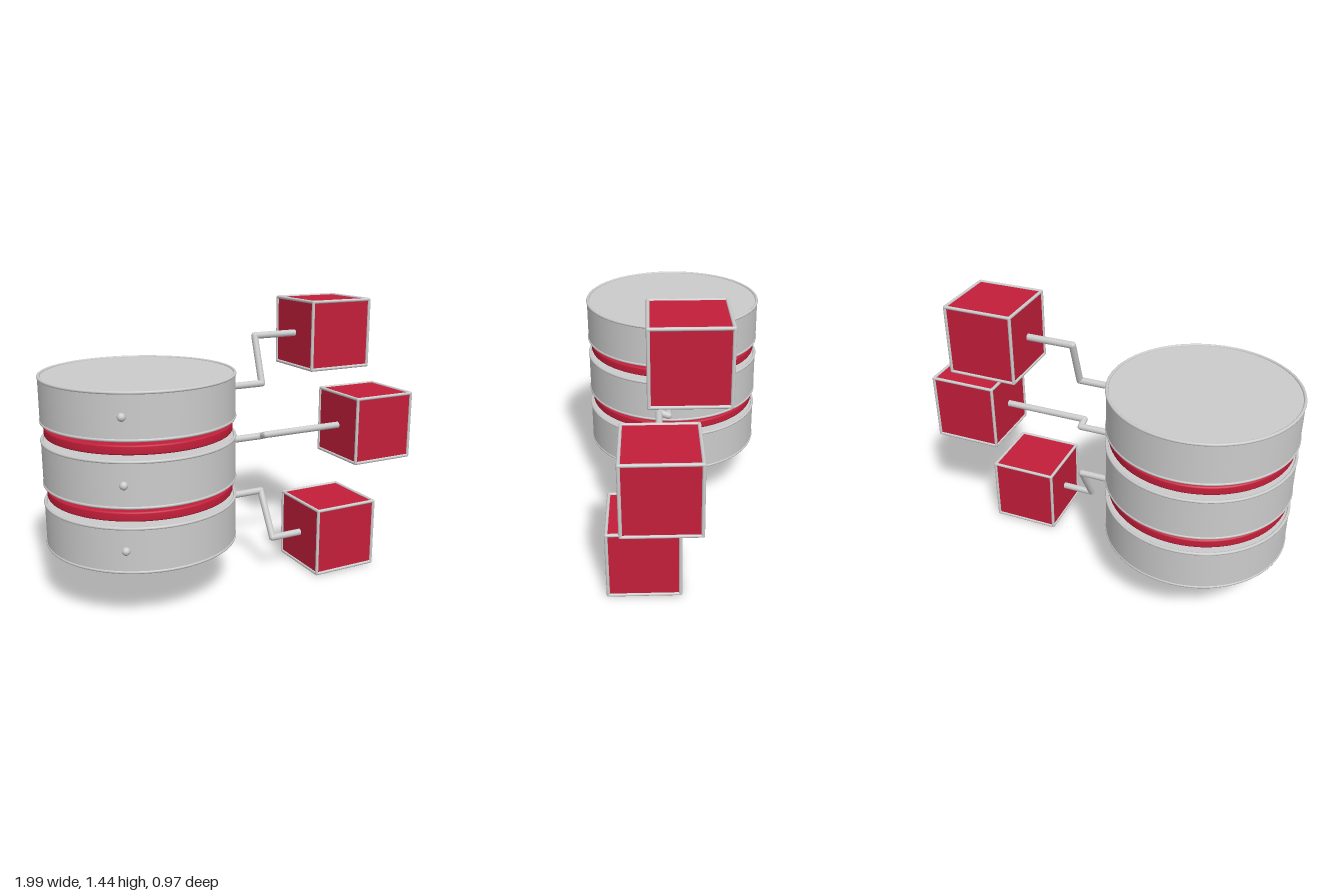
import * as THREE from 'three';

const grey = new THREE.MeshStandardMaterial({ color: 0xcccccc });
const red = new THREE.MeshStandardMaterial({ color: 0xc41e3a });

function addMesh(parent, name, geometry, material, x = 0, y = 0, z = 0) {
  const mesh = new THREE.Mesh(geometry, material);
  mesh.name = name;
  mesh.position.set(x, y, z);
  parent.add(mesh);
  return mesh;
}

// Round bar between two points
function addBar(parent, name, a, b, radius) {
  const dir = b.clone().sub(a);
  const mesh = addMesh(parent, name, new THREE.CylinderGeometry(radius, radius, dir.length(), 16), grey);
  mesh.position.copy(a).add(b).multiplyScalar(0.5);
  mesh.quaternion.setFromUnitVectors(new THREE.Vector3(0, 1, 0), dir.normalize());
}

// Drum with a rounded rim at each end and a small stud on its side
function makeDrum(y) {
  const drum = new THREE.Group();
  drum.name = 'drum';
  drum.position.set(-0.513, y, 0);
  addMesh(drum, 'drumBody', new THREE.CylinderGeometry(0.482, 0.482, 0.214, 96), grey);
  for (const side of [-1, 1]) {
    const rim = addMesh(drum, 'drumRim', new THREE.TorusGeometry(0.478, 0.008, 10, 96), grey, 0, side * 0.107, 0);
    rim.rotation.x = Math.PI / 2;
  }
  addMesh(drum, 'stud', new THREE.SphereGeometry(0.02, 20, 14), grey, -0.242, 0, 0.42);
  return drum;
}

// Red disc with softened edges, between two drums
function makeDisc(y) {
  const r = 0.467, h = 0.023, b = 0.008;
  const profile = [[0, -h], [r - b, -h], [r - b, -h], [r - 0.002, -h + 0.003], [r, -h + b],
    [r, h - b], [r - 0.002, h - 0.003], [r - b, h], [r - b, h], [0, h]];
  const geometry = new THREE.LatheGeometry(profile.map(p => new THREE.Vector2(...p)), 96);
  const disc = new THREE.Mesh(geometry, red);
  disc.name = 'disc';
  disc.position.set(-0.513, y, 0);
  return disc;
}

// Red cube with round bars along its twelve edges
function makeCube(center) {
  const cube = new THREE.Group();
  cube.name = 'framedCube';
  cube.position.copy(center);
  addMesh(cube, 'cubeBody', new THREE.BoxGeometry(0.358, 0.358, 0.358), red);
  const e = 0.178, r = 0.0085;
  for (const u of [-e, e]) {
    for (const v of [-e, e]) {
      addBar(cube, 'edgeBar', new THREE.Vector3(-e, u, v), new THREE.Vector3(e, u, v), r);
      addBar(cube, 'edgeBar', new THREE.Vector3(u, -e, v), new THREE.Vector3(u, e, v), r);
      addBar(cube, 'edgeBar', new THREE.Vector3(u, v, -e), new THREE.Vector3(u, v, e), r);
      for (const w of [-e, e]) addMesh(cube, 'frameCorner', new THREE.SphereGeometry(r, 12, 8), grey, u, v, w);
    }
  }
  return cube;
}

// Cranked arm from a drum to the near face of its cube
function makeArm(y, center) {
  const arm = new THREE.Group();
  arm.name = 'arm';
  const points = [
    new THREE.Vector3(-0.05, y, 0.038),
    new THREE.Vector3(0.168, y, 0.038),
    new THREE.Vector3(0.168, center.y, center.z),
    new THREE.Vector3(center.x - 0.17, center.y, center.z),
  ];
  for (let i = 0; i < 3; i++) addBar(arm, 'armRod', points[i], points[i + 1], 0.018);
  for (const p of points.slice(1, 3)) {
    addMesh(arm, 'armJoint', new THREE.SphereGeometry(0.018, 16, 12), grey, p.x, p.y, p.z);
  }
  return arm;
}

export function createModel() {
  const model = new THREE.Group();
  model.name = 'stackWithCubes';
  for (const y of [0.39, 0.705, 1.02]) model.add(makeDrum(y));
  for (const y of [0.548, 0.863]) model.add(makeDisc(y));
  const links = [
    [0.42, new THREE.Vector3(0.52, 0.192, 0.172)],
    [0.73, new THREE.Vector3(0.809, 0.748, 0.088)],
    [1.018, new THREE.Vector3(0.595, 1.26, -0.043)],
  ];
  for (const [y, center] of links) {
    model.add(makeArm(y, center), makeCube(center));
  }
  return model;
}
